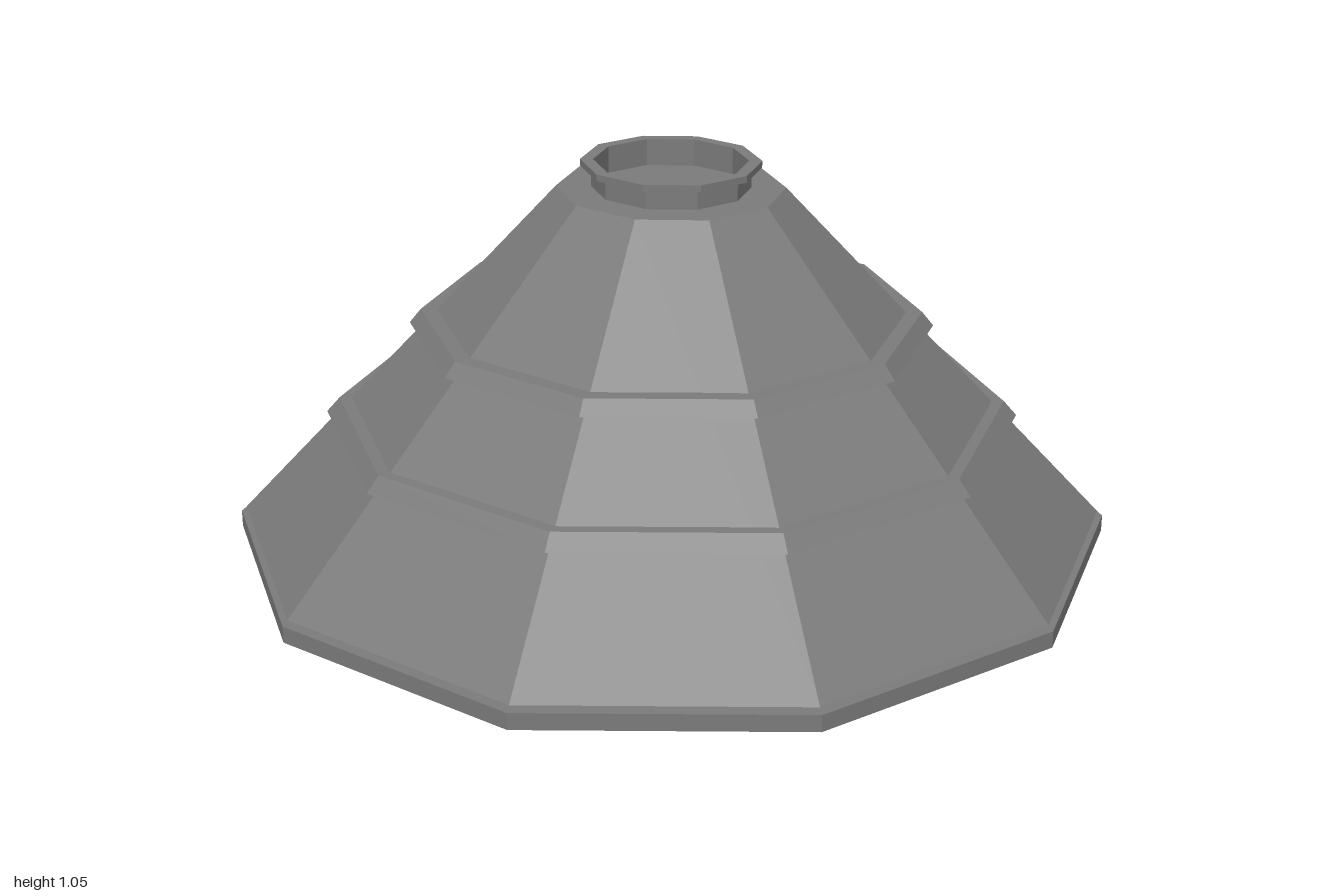
import * as THREE from 'three';

const SIDES = 10;

export function createModel() {
  const group = new THREE.Group();
  const material = new THREE.MeshStandardMaterial({ color: 0x7b7b7b, flatShading: true });

  // Ten-sided turned part from [radius, height, depth stretch] points,
  // listed so faces point outward
  function turned(name, profile) {
    const points = profile.map(([r, y]) => new THREE.Vector2(r, y));
    const lathe = new THREE.LatheGeometry(points, SIDES, Math.PI / 2);
    const position = lathe.attributes.position;
    for (let i = 0; i < position.count; i++) {
      const stretch = profile[i % profile.length][2] ?? 1;
      position.setZ(i, position.getZ(i) * stretch);
    }
    const geometry = lathe.toNonIndexed();
    geometry.computeVertexNormals();
    const mesh = new THREE.Mesh(geometry, material);
    mesh.name = name;
    group.add(mesh);
  }

  // Shallow dished underside with a thin vertical rim
  turned('baseDish', [
    [0, 0], [0.51, 0.042], [0.76, 0.086],
    [1, 0.162], [1, 0.2], [0, 0.2],
  ]);

  // Recessed spacer that leaves a narrow seam under the cone
  turned('seamSpacer', [[0.81, 0.195], [0.81, 0.215]]);

  // Main cone with a flat top, slightly deeper than wide at the top
  turned('coneShell', [[0, 0.211], [0.988, 0.211], [0.25, 0.99, 1.05], [0, 0.99]]);

  // Two raised bands: flat underneath, sloped outside, flat ledge on top
  const bands = [
    ['lowerBand', 0.787, 0.757, 0.451, 0.485, 1.003],
    ['upperBand', 0.588, 0.562, 0.668, 0.7, 1.01],
  ];
  for (const [name, outer, top, y0, y1, stretch] of bands) {
    turned(name, [
      [outer - 0.08, y0, stretch], [outer, y0, stretch],
      [top, y1, stretch], [top - 0.08, y1, stretch],
    ]);
  }

  // Open collar with an overhanging lip, hollow down to the cone top
  turned('topCollar', [
    [0.174, 0.99, 1.05], [0.174, 1.036, 1.05], [0.197, 1.036, 1.05],
    [0.197, 1.051, 1.05], [0.169, 1.051, 1.05], [0.169, 0.99, 1.05],
  ]);

  return group;
}
